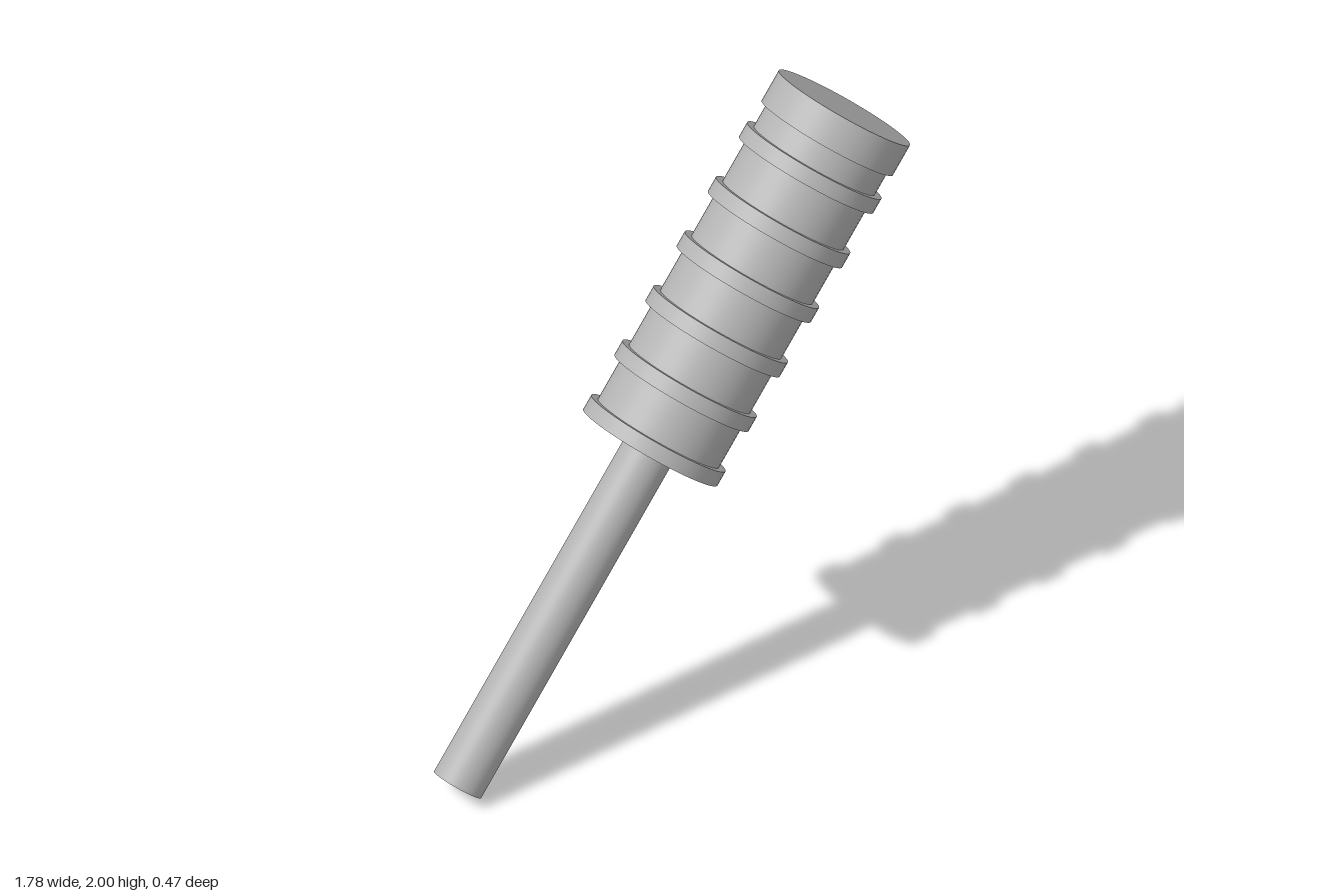
import * as THREE from 'three';

export function createModel() {
  const model = new THREE.Group();
  const grey = new THREE.MeshStandardMaterial({ color: 0xb3b3b3 });
  grey.name = 'grey';

  // Everything is stacked along one axis, which is then leaned over
  const tool = new THREE.Group();
  tool.name = 'ribbedClub';
  const addCylinder = (name, radius, from, to) => {
    const geometry = new THREE.CylinderGeometry(radius, radius, to - from, 64);
    const mesh = new THREE.Mesh(geometry, grey);
    mesh.name = name;
    mesh.position.y = (from + to) / 2;
    tool.add(mesh);
  };

  const length = 2.368, headStart = 1.18;
  addCylinder('handle', 0.082, 0, headStart + 0.02);
  addCylinder('headCore', 0.21, headStart + 0.01, length - 0.02);

  // Evenly spaced raised rings; the first closes the bottom of the head
  for (let i = 0; i < 6; i++) {
    const start = headStart + i * 0.1908;
    addCylinder(`ring${i + 1}`, 0.233, start, start + 0.05);
  }
  addCylinder('endCap', 0.228, length - 0.105, length);

  // Lean towards +x with the lower rim of the handle on the ground
  tool.rotation.z = -0.708;
  tool.position.set(-0.824, 0.053, 0);
  model.add(tool);
  return model;
}
